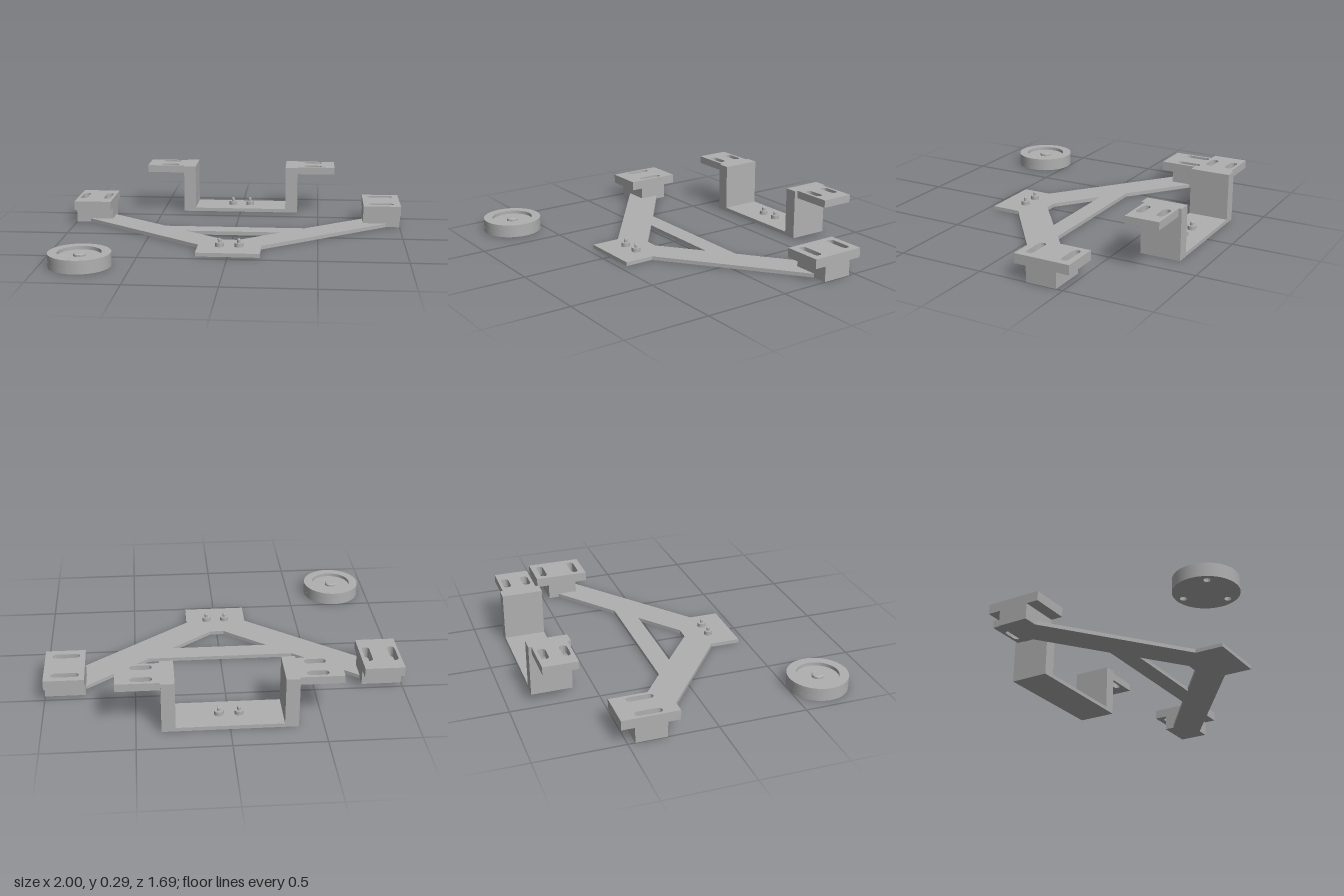
import * as THREE from 'three';
import { toCreasedNormals } from 'three/addons/utils/BufferGeometryUtils.js';

const grey = new THREE.MeshStandardMaterial({ color: 0xb0b0b0 });
grey.name = 'grey';

function add(parent, name, geometry) {
  const mesh = new THREE.Mesh(geometry, grey);
  mesh.name = name;
  parent.add(mesh);
  return mesh;
}

function polygon(points) {
  return new THREE.Shape(points.map(([x, z]) => new THREE.Vector2(x, z)));
}

function rect(x0, x1, z0, z1) {
  return polygon([[x0, z0], [x1, z0], [x1, z1], [x0, z1]]);
}

// Rounded slot filling the given rectangle, along its longer side
function slot(x0, x1, z0, z1) {
  const path = new THREE.Path();
  const r = Math.min(x1 - x0, z1 - z0) / 2;
  if (x1 - x0 > z1 - z0) {
    path.absarc(x1 - r, z0 + r, r, -Math.PI / 2, Math.PI / 2);
    path.absarc(x0 + r, z0 + r, r, Math.PI / 2, Math.PI * 1.5);
  } else {
    path.absarc(x0 + r, z1 - r, r, 0, Math.PI);
    path.absarc(x0 + r, z0 + r, r, Math.PI, Math.PI * 2);
  }
  path.closePath();
  return path;
}

// Plan outline (x, z) raised from y0 to y1
function slab(shape, y0, y1, holes = []) {
  shape.holes.push(...holes);
  const g = new THREE.ExtrudeGeometry(shape, { depth: y1 - y0, bevelEnabled: false, curveSegments: 12 });
  return toCreasedNormals(g.rotateX(Math.PI / 2).translate(0, y1, 0), 0.6);
}

// Pair of stepped pins standing on a thin plate
function addPins(parent, z) {
  for (const x of [-0.055, 0.055]) {
    const pin = new THREE.Group();
    pin.name = 'locatingPin';
    pin.position.set(x, 0.022, z);
    add(pin, 'pinCollar', new THREE.CylinderGeometry(0.025, 0.025, 0.023, 24)).position.y = 0.0115;
    add(pin, 'pinShaft', new THREE.CylinderGeometry(0.01, 0.01, 0.018, 16)).position.y = 0.032;
    add(pin, 'pinTip', new THREE.CylinderGeometry(0.004, 0.01, 0.007, 16)).position.y = 0.0445;
    parent.add(pin);
  }
}

function createFrame() {
  const frame = new THREE.Group();
  frame.name = 'vFrame';

  // Flat V plate with a triangular window
  const half = [[0.42, -0.13], [0.775, -0.4], [0.915, -0.28], [0.18, 0.285], [0.18, 0.455]];
  const outline = [...half, ...half.map(([x, z]) => [-x, z]).reverse()];
  const windowHole = polygon([[-0.28, -0.02], [0.28, -0.02], [0.04, 0.165], [-0.04, 0.165]]);
  add(frame, 'framePlate', slab(polygon(outline), 0, 0.022, [windowHole]));
  addPins(frame, 0.31);

  // Right end block: slots run front to back and sink into the block
  const rightSlots = () => [slot(-0.983, -0.94, -0.45, -0.3), slot(-0.837, -0.795, -0.45, -0.3)];
  add(frame, 'rightBlock', slab(rect(-1, -0.775, -0.46, -0.283), 0, 0.08));
  add(frame, 'rightBlockRecess', slab(rect(-1, -0.775, -0.46, -0.283), 0.08, 0.09, rightSlots()));
  add(frame, 'rightTopPlate', slab(rect(-1, -0.775, -0.535, -0.213), 0.09, 0.145, rightSlots()));

  // Left end block: slots run sideways, the front one notching the block
  const notched = polygon([[0.775, -0.46], [1, -0.46], [1, -0.283], [0.958, -0.283], [0.945, -0.297],
    [0.822, -0.297], [0.809, -0.283], [0.775, -0.283]]);
  add(frame, 'leftBlock', slab(rect(0.775, 1, -0.46, -0.283), 0, 0.08));
  add(frame, 'leftBlockRecess', slab(notched, 0.08, 0.09));
  add(frame, 'leftTopPlate', slab(rect(0.775, 1, -0.535, -0.213), 0.09, 0.145,
    [slot(0.807, 0.96, -0.5, -0.458), slot(0.807, 0.96, -0.297, -0.254)]));
  return frame;
}

function createBracket() {
  const bracket = new THREE.Group();
  bracket.name = 'bracket';

  // U-shaped body, profile in x and y
  const profile = polygon([[-0.365, 0], [0.365, 0], [0.365, 0.295], [0.29, 0.295], [0.29, 0.022],
    [-0.29, 0.022], [-0.29, 0.295], [-0.365, 0.295]]);
  const body = new THREE.ExtrudeGeometry(profile, { depth: 0.235, bevelEnabled: false });
  add(bracket, 'bracketBody', body.translate(0, 0, -0.85));

  // Slotted flanges on both sides
  for (const s of [-1, 1]) {
    const span = (a, b) => (s > 0 ? [a, b] : [-b, -a]);
    add(bracket, s > 0 ? 'leftFlange' : 'rightFlange', slab(rect(...span(0.365, 0.602), -0.833, -0.635),
      0.25, 0.295, [slot(...span(0.405, 0.522), -0.815, -0.771), slot(...span(0.405, 0.522), -0.697, -0.653)]));
  }
  addPins(bracket, -0.733);
  return bracket;
}

function createDisc() {
  const disc = new THREE.Group();
  disc.name = 'disc';
  disc.position.set(-0.78, 0, 0.672);

  // Base with three blind holes in the underside
  const base = new THREE.Shape().absarc(0, 0, 0.172, 0, Math.PI * 2);
  const holes = [30, 150, 270].map((deg) => {
    const a = THREE.MathUtils.degToRad(deg);
    return new THREE.Path().absarc(0.13 * Math.cos(a), 0.13 * Math.sin(a), 0.019, 0, Math.PI * 2);
  });
  base.holes.push(...holes);
  const g = new THREE.ExtrudeGeometry(base, { depth: 0.03, bevelEnabled: false, curveSegments: 48 });
  add(disc, 'discBase', toCreasedNormals(g.rotateX(Math.PI / 2).translate(0, 0.03, 0), 0.6));

  // Raised rim, recessed floor and small hub
  const rim = [[0, 0.03], [0.172, 0.03], [0.172, 0.075], [0.12, 0.075], [0.12, 0.055], [0.033, 0.055],
    [0.033, 0.066], [0.028, 0.071], [0, 0.071]].map(([r, y]) => new THREE.Vector2(r, y));
  add(disc, 'discRim', toCreasedNormals(new THREE.LatheGeometry(rim, 48), 0.6));
  return disc;
}

export function createModel() {
  const model = new THREE.Group();
  model.name = 'mountingParts';
  model.add(createFrame(), createBracket(), createDisc());
  return model;
}
